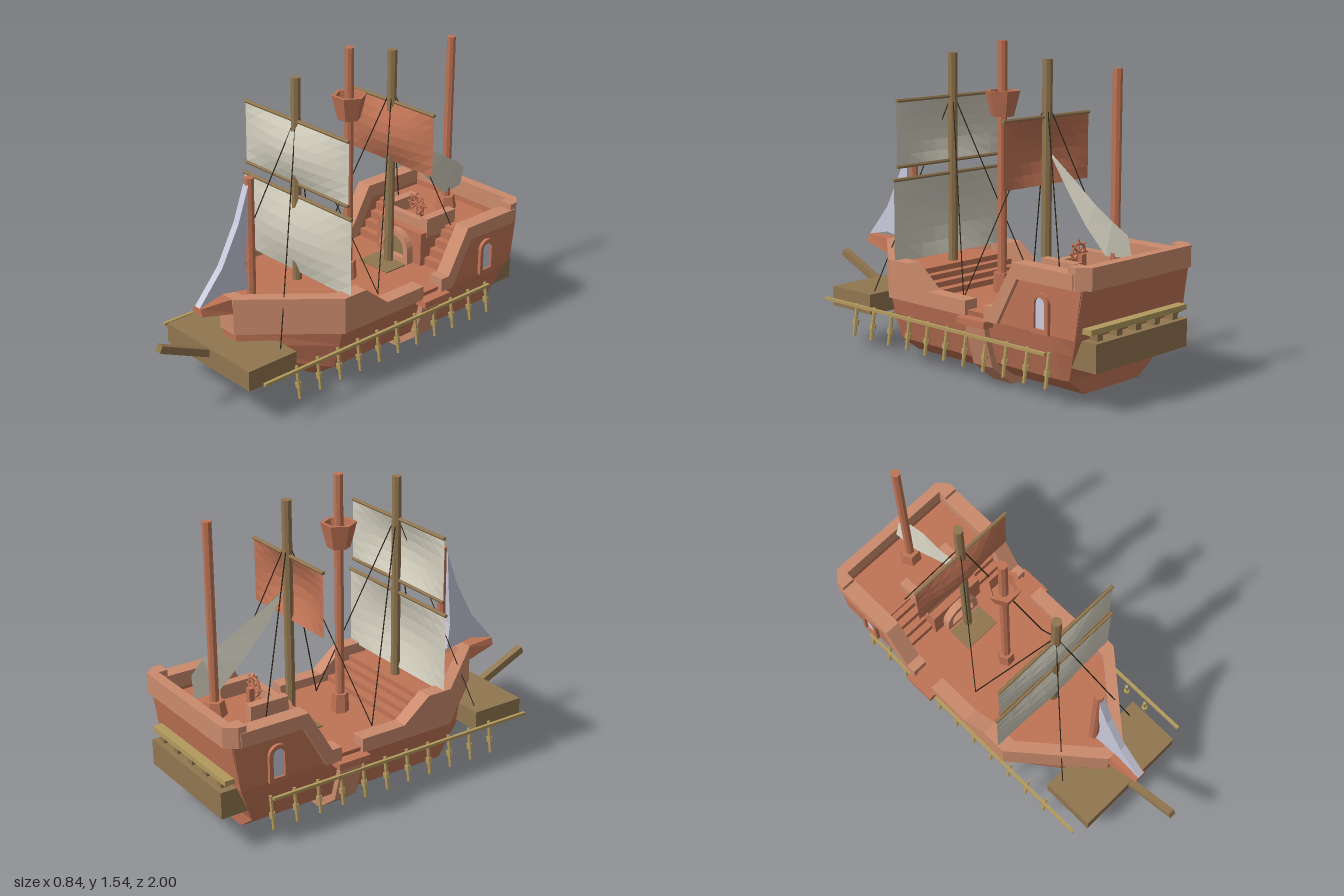
import * as THREE from 'three';

const mat = (name, color, side = THREE.FrontSide) => {
  const m = new THREE.MeshStandardMaterial({ color, side });
  m.name = name;
  return m;
};

export function createModel() {
  const group = new THREE.Group();
  const M = {
    hull: mat('terracotta', 0xbf7355),
    rail: mat('light terracotta', 0xcb8b6d),
    wood: mat('brown wood', 0x917650),
    tan: mat('tan wood', 0xb39a5e),
    canvas: mat('cream canvas', 0xd3cfbf, THREE.DoubleSide),
    redSail: mat('terracotta canvas', 0xbf7355, THREE.DoubleSide),
    pale: mat('pale lavender', 0xc9c9dc),
    rope: mat('dark rope', 0x2c2518),
  };

  // Faceted mesh
  const add = (name, geo, material) => {
    const g = geo.index ? geo.toNonIndexed() : geo;
    g.computeVertexNormals();
    const mesh = new THREE.Mesh(g, material);
    mesh.name = name;
    group.add(mesh);
    return mesh;
  };
  // Box from its limits
  const box = (name, m, x0, x1, y0, y1, z0, z1) =>
    add(name, new THREE.BoxGeometry(x1 - x0, y1 - y0, z1 - z0)
      .translate((x0 + x1) / 2, (y0 + y1) / 2, (z0 + z1) / 2), m);
  const shapeOf = pts => new THREE.Shape(pts.map(p => new THREE.Vector2(...p)));
  const extrude = (shape, depth) => new THREE.ExtrudeGeometry(shape, { depth, bevelEnabled: false, curveSegments: 6 });
  // Side outline (z, y) extruded across x0..x1
  const sideSlab = (name, m, pts, x0, x1) =>
    add(name, extrude(shapeOf(pts), x1 - x0).rotateY(-Math.PI / 2).translate(x1, 0, 0), m);
  // Plan outline (x, z) extruded between y0 and y1
  const planSlab = (name, m, pts, y0, y1) =>
    add(name, extrude(shapeOf(pts), y1 - y0).rotateX(Math.PI / 2).translate(0, y1, 0), m);
  // Vertical post of any taper
  const post = (name, m, x, z, y0, y1, r0, r1 = r0, sides = 8) =>
    add(name, new THREE.CylinderGeometry(r1, r0, y1 - y0, sides).rotateY(Math.PI / 6)
      .translate(x, (y0 + y1) / 2, z), m);
  // Straight rod between two points
  const rod = (name, m, a, b, r, sides = 5) => {
    const p = new THREE.Vector3(...a), q = new THREE.Vector3(...b);
    const mesh = add(name, new THREE.CylinderGeometry(r, r, p.distanceTo(q), sides), m);
    mesh.position.copy(p).add(q).multiplyScalar(0.5);
    mesh.quaternion.setFromUnitVectors(new THREE.Vector3(0, 1, 0), q.sub(p).normalize());
    return mesh;
  };
  // Solid through mirrored half sections [x, y, z], listed top to keel, stern to bow
  const loft = (name, m, halves) => {
    const rings = halves.map(h => [...h, ...h.slice().reverse().map(([x, y, z]) => [-x, y, z])]);
    const n = rings[0].length, last = (rings.length - 1) * n, idx = [];
    for (let i = 0; i < rings.length - 1; i++) for (let j = 0; j < n; j++) {
      const a = i * n + j, b = i * n + (j + 1) % n;
      idx.push(a, a + n, b, b, a + n, b + n);
    }
    for (let j = 0; j < n / 2 - 1; j++) {
      const a = j, b = n - 1 - j, c = n - 2 - j, d = j + 1;
      idx.push(a, d, c, a, c, b, last + a, last + c, last + d, last + a, last + b, last + c);
    }
    const g = new THREE.BufferGeometry();
    g.setAttribute('position', new THREE.Float32BufferAttribute(rings.flat(2), 3));
    g.setIndex(idx);
    return add(name, g, m);
  };
  // Upright arch outline, centred on x, standing on y = 0
  const arch = (w, h, P = THREE.Shape, y0 = 0) => {
    const s = new P();
    s.moveTo(-w, y0);
    s.lineTo(w, y0);
    s.lineTo(w, h - w);
    s.absarc(0, h - w, w, 0, Math.PI, false);
    s.lineTo(-w, y0);
    return s;
  };
  const archFrame = (w, h, t) => {
    const s = arch(w, h);
    s.holes.push(arch(w - t, h - t, THREE.Path, t));
    return s;
  };

  // Hull and waist deck
  loft('hull', M.hull, [
    [[0.365, 0.355, -0.935], [0.335, 0.25, -0.89], [0.295, 0.12, -0.835], [0.185, 0.04, -0.83]],
    [[0.37, 0.355, -0.8], [0.345, 0.25, -0.8], [0.305, 0.12, -0.8], [0.19, 0.04, -0.8]],
    [[0.37, 0.355, 0.22], [0.345, 0.25, 0.22], [0.305, 0.12, 0.22], [0.19, 0.04, 0.23]],
    [[0.05, 0.355, 0.6], [0.05, 0.27, 0.595], [0.05, 0.2, 0.585], [0.05, 0.175, 0.58]],
  ]);
  // Midship rib with its gunwale caps
  const ribHalf = [[0.39, 0.33], [0.375, 0.25], [0.33, 0.1], [0.2, 0.0]];
  loft('midshipRib', M.rail, [-0.41, -0.29].map(z => ribHalf.map(([x, y]) => [x, y, z])));
  box('ribCap', M.hull, -0.42, 0.42, 0.3, 0.332, -0.44, -0.27);

  // Bow bulwark, foredeck, beak
  planSlab('bowBulwark', M.rail, [[0.385, 0.19], [0.385, 0.22], [0.05, 0.61], [-0.05, 0.61], [-0.385, 0.22],
    [-0.385, 0.19], [-0.31, 0.19], [-0.31, 0.22], [-0.03, 0.55], [0.03, 0.55], [0.31, 0.22], [0.31, 0.19]], 0.33, 0.512);
  planSlab('foredeck', M.hull, [[0.33, 0.12], [0.33, 0.22], [0.04, 0.57], [-0.04, 0.57], [-0.33, 0.22], [-0.33, 0.12]], 0.34, 0.46);
  loft('beak', M.hull, [
    [[0.045, 0.51, 0.57], [0.055, 0.43, 0.57]],
    [[0.025, 0.51, 0.775], [0.035, 0.475, 0.775]],
  ]);
  for (let i = 0; i < 3; i++)
    box('foredeckStep', M.hull, -0.31, 0.31, 0.34, 0.382 + i * 0.026, i * 0.045 - 0.01, 0.13);

  // Side bulwarks, stern walls, stairs, windows
  for (const s of [-1, 1]) {
    const span = (a, b) => (s > 0 ? [a, b] : [-b, -a]);
    sideSlab('waistBulwark', M.rail, [[-0.29, 0.33], [0.19, 0.33], [0.19, 0.512], [0.09, 0.512], [-0.05, 0.4], [-0.29, 0.4]], ...span(0.31, 0.385));
    sideSlab('sternRail', M.rail, [[-0.41, 0.33], [-0.49, 0.33], [-0.61, 0.55], [-0.93, 0.55], [-0.93, 0.62],
      [-0.585, 0.62], [-0.46, 0.4], [-0.41, 0.4]], ...span(0.31, 0.39));
    sideSlab('sternWall', M.hull, [[-0.47, 0.33], [-0.93, 0.33], [-0.96, 0.56], [-0.61, 0.56], [-0.49, 0.34]], ...span(0.315, 0.37));
    for (let i = 0; i < 4; i++)
      box('sternStair', M.hull, ...span(0.15, 0.315), 0.34, 0.395 + i * 0.04, -0.7, -0.53 - i * 0.037);
    box('platformRail', M.rail, ...span(0.11, 0.157), 0.5, 0.6, -0.74, -0.54);
    const turn = s * Math.PI / 2;
    add('windowFrame', extrude(archFrame(0.05, 0.18, 0.02), 0.02).rotateY(turn).translate(s * 0.367, 0.33, -0.74), M.hull);
    add('windowPane', extrude(arch(0.034, 0.165), 0.006).rotateY(turn).translate(s * 0.369, 0.335, -0.74), M.pale);
  }

  // Stern castle
  sideSlab('quarterdeck', M.hull, [[-0.67, 0.33], [-0.93, 0.33], [-0.965, 0.56], [-0.945, 0.56], [-0.945, 0.53], [-0.67, 0.53]], -0.365, 0.365);
  planSlab('taffrail', M.rail, [[0.385, -0.9], [0.385, -0.94], [0.34, -0.995], [-0.34, -0.995], [-0.385, -0.94], [-0.385, -0.9],
    [-0.315, -0.9], [-0.315, -0.945], [0.315, -0.945], [0.315, -0.9]], 0.55, 0.65);
  box('cabin', M.hull, -0.155, 0.155, 0.34, 0.53, -0.68, -0.5);
  box('platformFrontRail', M.rail, -0.112, 0.112, 0.5, 0.58, -0.575, -0.54);
  add('doorFrame', extrude(archFrame(0.1, 0.17, 0.03), 0.04).translate(0, 0.35, -0.501), M.rail);
  add('door', extrude(arch(0.075, 0.145), 0.008).translate(0, 0.355, -0.5), M.wood);
  box('hatch', M.wood, -0.1, 0.1, 0.35, 0.361, -0.45, -0.32);

  // Steering wheel
  add('wheelRim', new THREE.TorusGeometry(0.045, 0.007, 5, 12).translate(0, 0.61, -0.625), M.hull);
  for (let i = 0; i < 4; i++) {
    const a = i * Math.PI / 4, c = Math.cos(a) * 0.062, d = Math.sin(a) * 0.062;
    rod('wheelSpoke', M.hull, [-c, 0.61 - d, -0.625], [c, 0.61 + d, -0.625], 0.005);
  }
  box('wheelStand', M.hull, -0.015, 0.015, 0.52, 0.61, -0.66, -0.635);

  // Bow and stern platforms, gallery, bowsprit
  box('bowPlatform', M.wood, -0.305, 0.305, 0.19, 0.29, 0.45, 0.73);
  box('sternPlatform', M.wood, -0.315, 0.315, 0.19, 0.32, -1.0, -0.77);
  box('galleryRail', M.tan, -0.33, 0.33, 0.355, 0.38, -0.985, -0.92);
  for (let i = -2; i <= 2; i++)
    box('galleryPost', M.wood, i * 0.13 - 0.018, i * 0.13 + 0.018, 0.315, 0.36, -0.975, -0.93);
  const sprit = add('bowsprit', new THREE.BoxGeometry(0.036, 0.036, 0.33), M.wood);
  sprit.position.set(0, 0.315, 0.845);
  sprit.rotation.x = -0.42;

  // Outboard rails with hanging posts
  for (const s of [-1, 1]) {
    box('outboardRail', M.tan, s * 0.378 - 0.008, s * 0.378 + 0.008, 0.238, 0.252, -0.77, 0.7);
    for (let i = 0; i < 11; i++) {
      const z = 0.49 - i * 0.126;
      rod('hangingPost', M.tan, [s * 0.352, 0.25, z], [s * 0.375, 0.09, z], 0.009, 6);
      rod('postCollar', M.tan, [s * 0.361, 0.17, z], [s * 0.366, 0.145, z], 0.016, 6);
    }
  }

  // Masts, collars and crow's nest
  post('foreMast', M.wood, 0, 0.18, 0.4, 1.47, 0.024);
  post('mizzenMast', M.wood, 0, -0.43, 0.34, 1.47, 0.024);
  post('jibMast', M.hull, 0, 0.46, 0.44, 1.06, 0.023);
  post('mainMast', M.hull, 0, -0.15, 0.34, 1.54, 0.023);
  post('sternMast', M.hull, 0, -0.835, 0.5, 1.45, 0.022);
  post('mainMastCollar', M.hull, 0, -0.15, 0.34, 0.45, 0.045, 0.04, 6);
  post('sternMastCollar', M.hull, 0, -0.835, 0.52, 0.6, 0.06, 0.045, 6);
  const nest = [[0, 1.19], [0.055, 1.19], [0.085, 1.31], [0.066, 1.31], [0.055, 1.23], [0, 1.23]];
  add('crowsNest', new THREE.LatheGeometry(nest.map(p => new THREE.Vector2(...p)), 6).rotateY(Math.PI / 6), M.hull)
    .position.z = -0.15;

  // Square sails and yards
  const sail = (name, m, w, y0, y1, z, bulge) => {
    const h = y1 - y0, g = new THREE.PlaneGeometry(w, h, 8, 6), p = g.attributes.position;
    for (let i = 0; i < p.count; i++)
      p.setZ(i, bulge * Math.cos(Math.PI * p.getX(i) / w) * Math.cos(Math.PI * p.getY(i) / h));
    add(name, g.translate(0, (y0 + y1) / 2, z), m);
  };
  const yard = (x, y, z) => rod('yard', M.wood, [-x, y, z], [x, y, z], 0.009, 6);
  sail('upperForeSail', M.canvas, 0.72, 0.955, 1.262, 0.183, 0.042);
  sail('lowerForeSail', M.canvas, 0.76, 0.5, 0.892, 0.183, 0.042);
  sail('mizzenSail', M.redSail, 0.57, 0.9, 1.21, -0.43, 0.05);
  yard(0.36, 1.262, 0.183);
  yard(0.36, 0.953, 0.183);
  yard(0.383, 0.892, 0.183);
  yard(0.288, 1.21, -0.43);

  // Jib
  sideSlab('jib', M.pale, [[0.48, 1.03], [0.49, 0.85], [0.505, 0.65], [0.49, 0.515], [0.64, 0.54], [0.775, 0.512],
    [0.64, 0.67], [0.54, 0.86]], -0.018, 0.018);

  // Stern lateen sail
  const upper = [[0, 1.05, -0.45], [0.015, 0.95, -0.6], [0.045, 0.85, -0.76], [0.05, 0.79, -0.86], [0.03, 0.735, -0.93]];
  const lower = [[0, 1.04, -0.45], [0, 0.88, -0.56], [0.015, 0.74, -0.68], [0.02, 0.625, -0.8], [0.005, 0.63, -0.935]];
  const lateen = new THREE.BufferGeometry(), quads = [];
  lateen.setAttribute('position', new THREE.Float32BufferAttribute([...upper, ...lower].flat(), 3));
  for (let i = 0; i < 4; i++) quads.push(i, i + 5, i + 1, i + 1, i + 5, i + 6);
  lateen.setIndex(quads);
  add('lateenSail', lateen, M.canvas);

  // Rigging
  for (const s of [-1, 1]) {
    for (const [z, x1, y1, z1] of [[0.18, 0.24, 0.29, 0.49], [0.18, 0.235, 0.36, -0.13], [-0.43, 0.235, 0.36, -0.13], [-0.43, 0.185, 0.54, -0.68]])
      rod('stay', M.rope, [0, 1.28, z], [s * x1, y1, z1], 0.003, 4);
  }
  return group;
}
